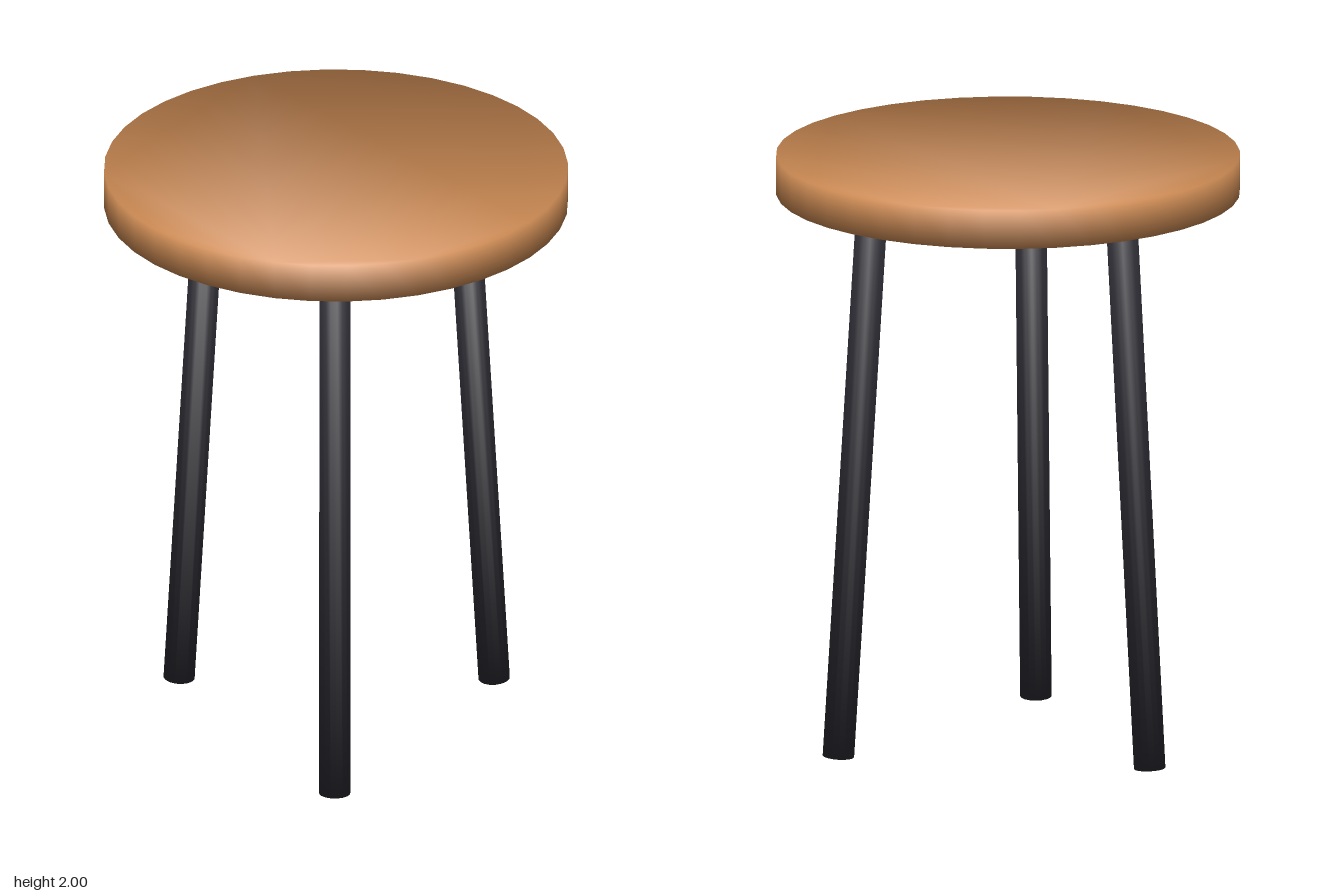
import * as THREE from 'three';

const SEAT_RADIUS = 0.766, SEAT_BOTTOM = 1.87, SEAT_TOP = 2;
const LEG_RADIUS = 0.052, LEG_FOOT = 0.6, LEG_HEAD = 0.48;

// Upright disc or rod, centred on the origin, with normals smoothed over its rims
function softCylinder(radius, height, sides) {
  const circle = new THREE.Shape().absarc(0, 0, radius, 0, Math.PI * 2);
  const geometry = new THREE.ExtrudeGeometry(circle, {
    depth: height, bevelEnabled: false, curveSegments: sides / 2,
  });
  geometry.rotateX(-Math.PI / 2).translate(0, -height / 2, 0);
  const { position, normal } = geometry.attributes;
  const n = new THREE.Vector3();
  for (let i = 0; i < position.count; i++) {
    n.fromBufferAttribute(position, i);
    n.y = Math.sign(n.y) * radius;
    n.normalize();
    normal.setXYZ(i, n.x, n.y, n.z);
  }
  return geometry;
}

export function createModel() {
  const wood = new THREE.MeshStandardMaterial({ color: 0xcd8b54 });
  wood.name = 'warm wood';
  const metal = new THREE.MeshStandardMaterial({ color: 0x2d2c34 });
  metal.name = 'dark metal';

  const stool = new THREE.Group();
  stool.name = 'stool';

  // Round seat
  const seat = new THREE.Mesh(softCylinder(SEAT_RADIUS, SEAT_TOP - SEAT_BOTTOM, 40), wood);
  seat.name = 'seat';
  seat.position.y = (SEAT_TOP + SEAT_BOTTOM) / 2;
  stool.add(seat);

  // Three splayed legs, evenly spaced
  const names = ['backLeftLeg', 'frontLeg', 'rightLeg'];
  const up = new THREE.Vector3(0, 1, 0);
  names.forEach((name, i) => {
    const angle = -Math.PI / 4 + (i * Math.PI * 2) / 3;
    const at = (r, y) => new THREE.Vector3(r * Math.cos(angle), y, r * Math.sin(angle));
    const foot = at(LEG_FOOT, 0.004);
    const head = at(LEG_HEAD, SEAT_BOTTOM + 0.002);
    const axis = head.clone().sub(foot);
    const leg = new THREE.Mesh(softCylinder(LEG_RADIUS, axis.length(), 16), metal);
    leg.name = name;
    leg.position.copy(foot).add(head).multiplyScalar(0.5);
    leg.quaternion.setFromUnitVectors(up, axis.normalize());
    stool.add(leg);
  });

  return stool;
}
